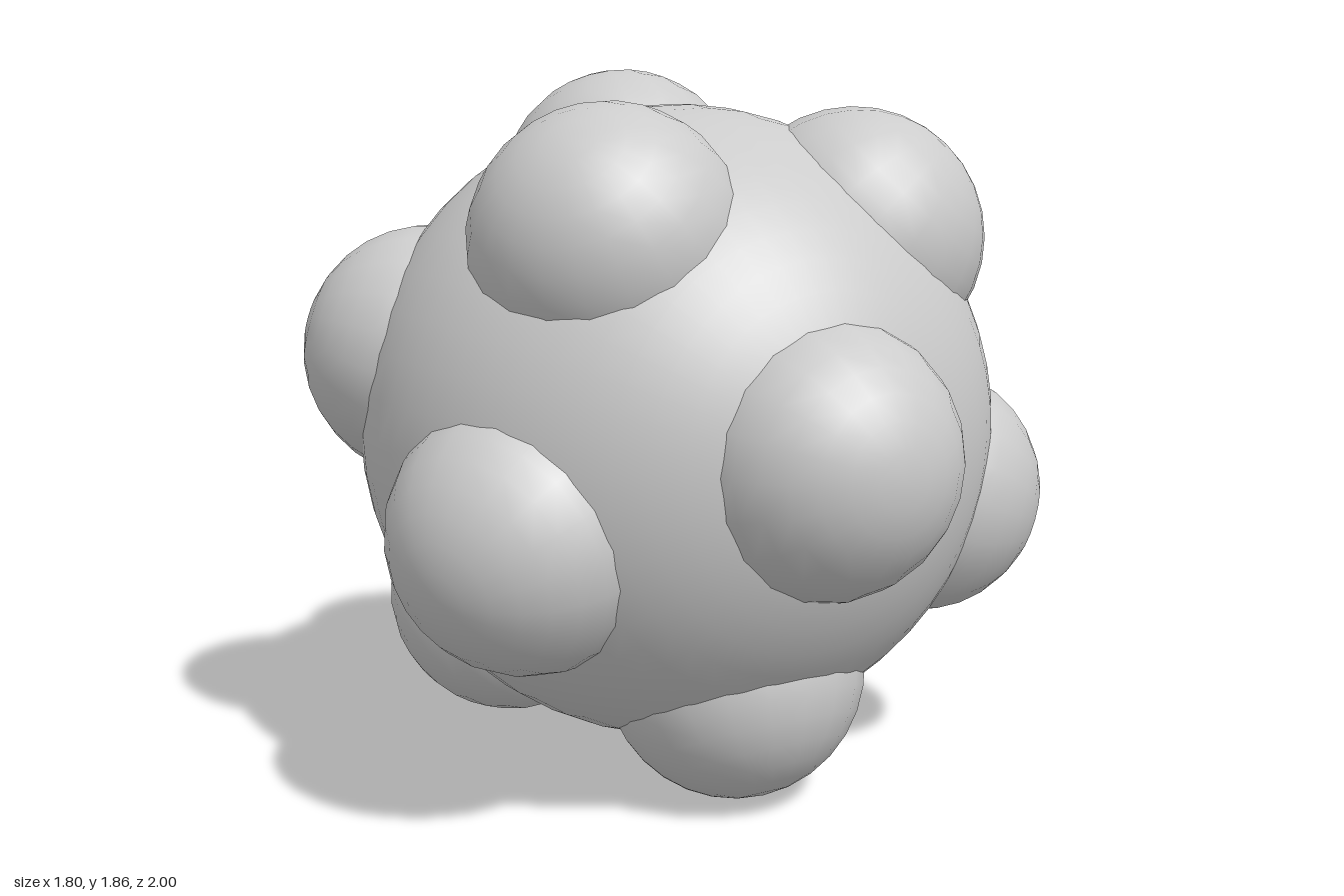
import * as THREE from 'three';

export function createModel() {
  const group = new THREE.Group();
  const material = new THREE.MeshStandardMaterial({ color: 0xcccccc });
  const centerY = 0.923;
  const bumpDistance = 0.664;
  const bumpRadius = 0.336;

  // Large central ball
  const core = new THREE.Mesh(new THREE.SphereGeometry(0.826, 48, 32), material);
  core.name = 'coreBall';
  core.rotation.x = Math.PI / 2;
  core.position.y = centerY;
  group.add(core);

  // Twelve bumps toward the corners of an icosahedron: two poles on z, two rings of five
  const directions = [new THREE.Vector3(0, 0, 1), new THREE.Vector3(0, 0, -1)];
  const ringZ = 1 / Math.sqrt(5);
  for (const side of [1, -1]) {
    for (let i = 0; i < 5; i++) {
      const angle = -side * Math.PI / 2 + i * Math.PI * 2 / 5;
      directions.push(new THREE.Vector3(
        2 * ringZ * Math.cos(angle), 2 * ringZ * Math.sin(angle), side * ringZ));
    }
  }

  const bumpGeometry = new THREE.SphereGeometry(bumpRadius, 20, 16);
  const up = new THREE.Vector3(0, 1, 0);
  directions.forEach((direction, i) => {
    const bump = new THREE.Mesh(bumpGeometry, material);
    bump.name = `bump${i + 1}`;
    bump.quaternion.setFromUnitVectors(up, direction);
    bump.position.copy(direction).multiplyScalar(bumpDistance);
    bump.position.y += centerY;
    group.add(bump);
  });

  // Rest the lowest bump on the ground
  const box = new THREE.Box3().setFromObject(group, true);
  group.children.forEach((part) => { part.position.y -= box.min.y; });
  return group;
}
